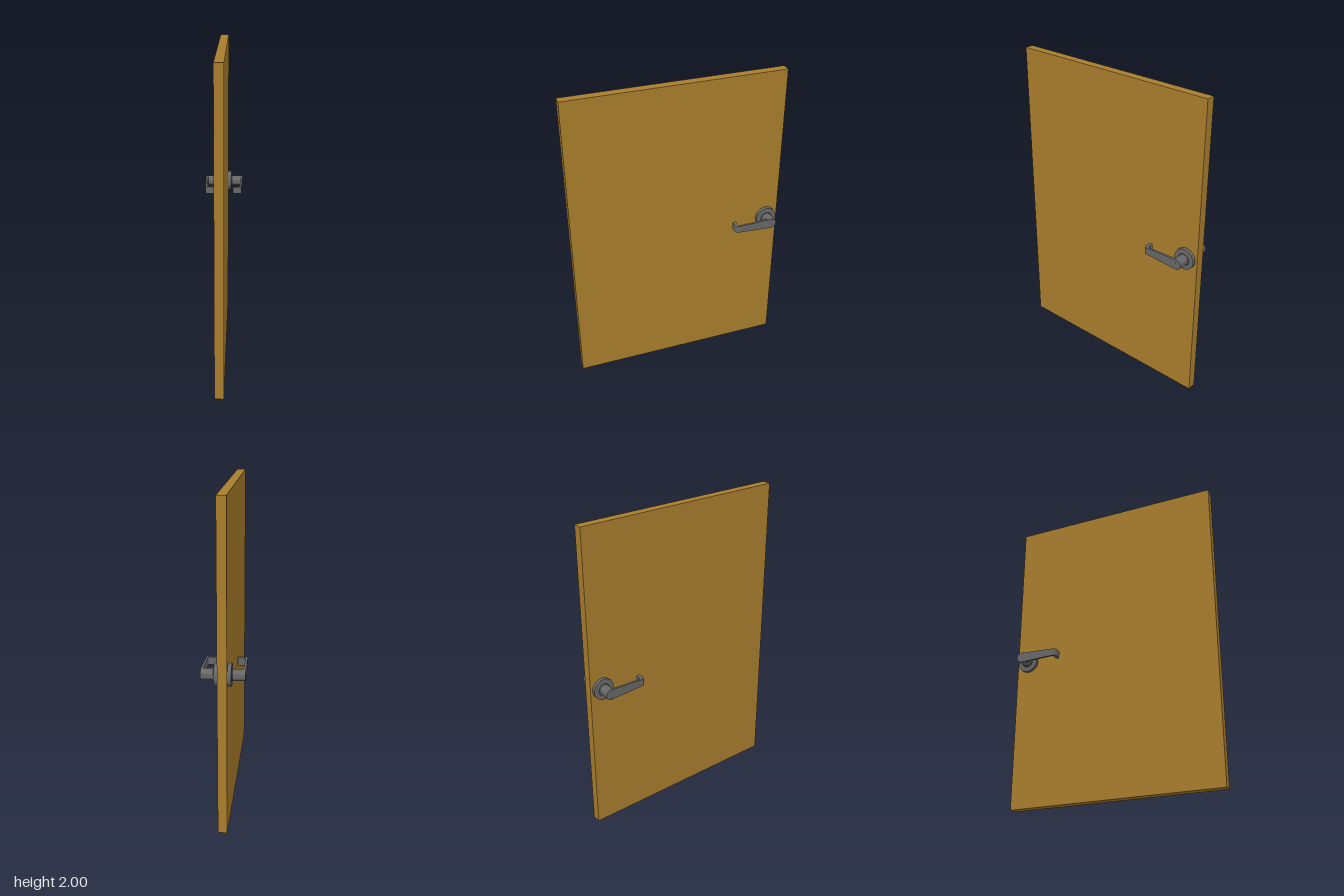
import * as THREE from 'three';
import { toCreasedNormals } from 'three/addons/utils/BufferGeometryUtils.js';

export function createModel() {
  const wood = new THREE.MeshStandardMaterial({ color: 0xa87d2c });
  wood.name = 'wood';
  const metal = new THREE.MeshStandardMaterial({ color: 0x676767 });
  metal.name = 'darkMetal';

  const model = new THREE.Group();
  model.name = 'door';
  const add = (parent, name, geometry, material) => {
    const mesh = new THREE.Mesh(geometry, material);
    mesh.name = name;
    parent.add(mesh);
    return mesh;
  };

  // Door slab
  add(model, 'slab', new THREE.BoxGeometry(0.056, 2, 1.384).translate(0, 1, 0), wood);

  // Round parts, turned about the x axis: [radius, x]
  const turned = (points) => {
    const g = new THREE.LatheGeometry(points.map(([r, x]) => new THREE.Vector2(r, x)), 48);
    return toCreasedNormals(g.rotateZ(-Math.PI / 2), 0.6);
  };
  const rose = turned([[0, 0.02], [0.068, 0.02], [0.068, 0.05], [0.058, 0.051], [0, 0.051]]);
  const neck = turned([[0.04, 0.049], [0.034, 0.056], [0.034, 0.129], [0, 0.13]]);

  // Lever plan: x outward, shape y along the door from the spindle
  const plan = new THREE.Shape();
  plan.moveTo(0.115, 0);
  plan.lineTo(0.13, 0);
  plan.lineTo(0.125, 0.226);
  plan.quadraticCurveTo(0.124, 0.247, 0.1, 0.247);
  plan.lineTo(0.07, 0.247);
  plan.quadraticCurveTo(0.063, 0.247, 0.063, 0.239);
  plan.lineTo(0.063, 0.23);
  plan.quadraticCurveTo(0.063, 0.223, 0.07, 0.223);
  plan.lineTo(0.1, 0.223);
  plan.quadraticCurveTo(0.113, 0.223, 0.113, 0.206);
  plan.lineTo(0.115, 0);
  const leverGeometry = new THREE.ExtrudeGeometry(plan, { depth: 2, bevelEnabled: false, curveSegments: 8 });
  leverGeometry.translate(0, 0, -1).rotateX(Math.PI / 2);
  // Taper the lever height toward its tip
  const pos = leverGeometry.attributes.position;
  for (let i = 0; i < pos.count; i++) {
    const t = Math.min(1, Math.max(0, pos.getZ(i) / 0.226));
    pos.setY(i, pos.getY(i) * (0.033 - 0.01 * t));
  }
  const lever = toCreasedNormals(leverGeometry, 0.6);

  // One handle on each face
  for (const [name, turn] of [['leftHandle', 0], ['rightHandle', Math.PI]]) {
    const handle = new THREE.Group();
    handle.name = name;
    add(handle, 'rose', rose, metal);
    add(handle, 'neck', neck, metal);
    add(handle, 'lever', lever, metal);
    handle.position.set(0, 0.98, -0.61);
    handle.rotation.z = turn;
    model.add(handle);
  }
  return model;
}
